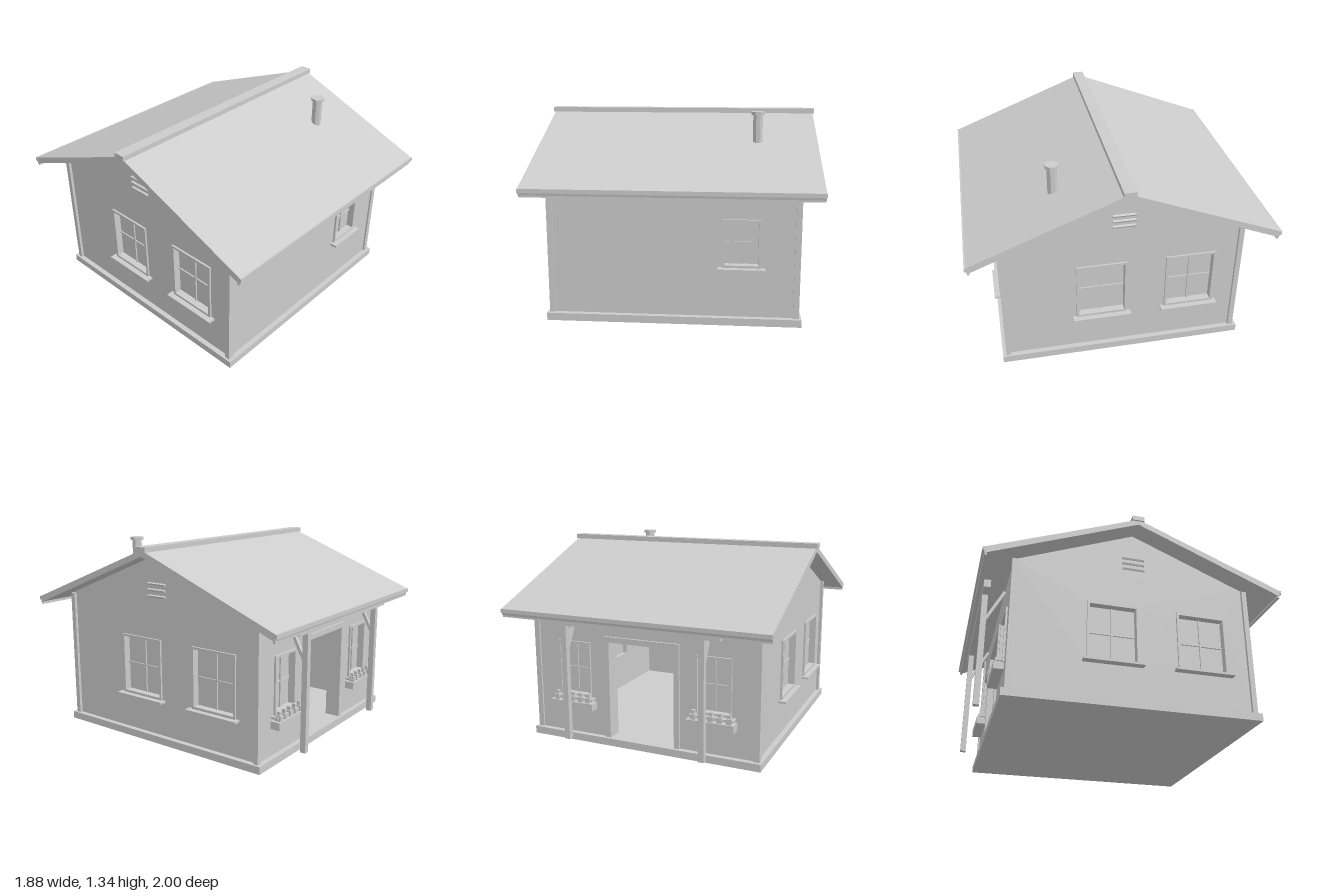
import * as THREE from 'three';

const HALF = 0.79, T = 0.08, FLOOR = 0.05, EAVE = 0.944, APEX = 1.265;

export function createModel() {
  const house = new THREE.Group();
  house.name = 'cabin';
  const grey = new THREE.MeshStandardMaterial({ color: 0xcccccc });
  grey.name = 'plain grey';

  const add = (parent, name, geometry) => {
    const mesh = new THREE.Mesh(geometry, grey);
    mesh.name = name;
    parent.add(mesh);
    return mesh;
  };
  // Box given by its minimum and maximum on each axis
  const box = (parent, name, x0, x1, y0, y1, z0, z1) => {
    const mesh = add(parent, name, new THREE.BoxGeometry(x1 - x0, y1 - y0, z1 - z0));
    mesh.position.set((x0 + x1) / 2, (y0 + y1) / 2, (z0 + z1) / 2);
    return mesh;
  };
  const polygon = (points) => new THREE.Shape(points.map(([x, y]) => new THREE.Vector2(x, y)));
  const rect = (x0, x1, y0, y1) => polygon([[x0, y0], [x1, y0], [x1, y1], [x0, y1]]);
  // Extruded plate between two depths
  const plate = (parent, name, shape, z0, z1) => {
    const geometry = new THREE.ExtrudeGeometry(shape, { depth: z1 - z0, bevelEnabled: false });
    geometry.translate(0, 0, z0);
    return add(parent, name, geometry);
  };

  // Window with frame, recessed pane, crossed bars and sill
  const addWindow = (parent, x0, x1, y0, y1) => {
    const group = new THREE.Group();
    group.name = 'window';
    parent.add(group);
    const f = 0.016;
    const frame = rect(x0, x1, y0, y1);
    frame.holes.push(rect(x0 + f, x1 - f, y0 + f, y1 - f));
    plate(group, 'windowFrame', frame, HALF - T, HALF + 0.013);
    box(group, 'windowPane', x0 + f, x1 - f, y0 + f, y1 - f, HALF - 0.044, HALF - 0.036);
    const cx = (x0 + x1) / 2, cy = (y0 + y1) / 2;
    box(group, 'windowBar', cx - 0.005, cx + 0.005, y0 + f, y1 - f, HALF - 0.036, HALF - 0.026);
    box(group, 'windowBar', x0 + f, x1 - f, cy - 0.005, cy + 0.005, HALF - 0.036, HALF - 0.027);
    box(group, 'windowSill', x0 - 0.027, x1 + 0.027, y0 - 0.014, y0, HALF - 0.02, HALF + 0.05);
  };

  // Wall facing local +z, turned about the vertical axis into place
  const addWall = (name, angle, outline, windows) => {
    const group = new THREE.Group();
    group.name = name;
    group.rotation.y = angle;
    house.add(group);
    const shape = polygon(outline);
    windows.forEach((w) => {
      shape.holes.push(rect(...w));
      addWindow(group, ...w);
    });
    plate(group, 'wallPanel', shape, HALF - T, HALF);
    return group;
  };

  // Base slab
  box(house, 'foundation', -0.825, 0.825, 0, FLOOR, -0.825, 0.825);

  // Front wall
  const W = HALF - T;
  addWall('frontWall', 0, [[-W, FLOOR], [W, FLOOR], [W, EAVE], [-W, EAVE]],
    [[0.315, 0.56, 0.38, 0.695]]);

  // Gable walls with two windows and a louvred vent each
  const gable = [[-HALF, FLOOR], [HALF, FLOOR], [HALF, EAVE], [0, APEX], [-HALF, EAVE]];
  for (const side of [1, -1]) {
    const wall = addWall(side > 0 ? 'leftWall' : 'rightWall', side * Math.PI / 2, gable,
      [[-0.313, 0.027, 0.3, 0.71], [0.287, 0.627, 0.3, 0.71]]);
    for (let i = 0; i < 3; i++) {
      const slat = box(wall, 'ventSlat', -0.075, 0.075, 0.99 + i * 0.04, 1.002 + i * 0.04, HALF - 0.01, HALF + 0.012);
      slat.rotation.x = 0.4;
    }
  }

  // Back wall with doorway
  const D = 0.245, top = 0.72;
  const backWindows = [[-0.622, -0.378, 0.31, 0.69], [0.378, 0.622, 0.31, 0.69]];
  const back = addWall('backWall', Math.PI,
    [[-W, FLOOR], [-D, FLOOR], [-D, top], [D, top], [D, FLOOR], [W, FLOOR], [W, EAVE], [-W, EAVE]],
    backWindows);
  const e = D + 0.025, n = D - 0.012;
  plate(back, 'doorFrame', polygon([[-e, FLOOR], [-n, FLOOR], [-n, top - 0.012], [n, top - 0.012],
    [n, FLOOR], [e, FLOOR], [e, top + 0.025], [-e, top + 0.025]]), HALF - T - 0.01, HALF + 0.015);

  // Flower boxes under the back windows
  for (const [x0, x1] of backWindows) {
    const c = (x0 + x1) / 2;
    box(back, 'flowerBox', c - 0.16, c + 0.16, 0.235, 0.285, HALF + 0.005, HALF + 0.07);
    for (let i = -2; i <= 2; i++) {
      const x = c + i * 0.06;
      box(back, 'plantStem', x - 0.018, x + 0.018, 0.285, 0.32, HALF + 0.02, HALF + 0.06);
      box(back, 'flower', x - 0.01, x + 0.01, 0.32, 0.345, HALF + 0.03, HALF + 0.05);
    }
  }

  // Corner boards
  for (const sx of [1, -1]) for (const sz of [1, -1]) {
    const post = box(house, 'cornerBoard', -0.019, 0.019, FLOOR, 0.94, -0.017, 0.017);
    post.position.x = sx * 0.791;
    post.position.z = sz * 0.785;
  }

  // Porch posts, beam and diagonal braces
  box(house, 'porchBeam', -0.6, 0.6, 0.83, 0.885, -0.952, -0.907);
  for (const s of [1, -1]) {
    const x = s * 0.48;
    box(house, 'porchPost', x - 0.019, x + 0.019, 0.055, 0.83, -0.95, -0.912);
    const brace = add(house, 'porchBrace', new THREE.BoxGeometry(0.024, 0.25, 0.02));
    brace.position.set(x, 0.765, -0.86);
    brace.rotation.x = Math.atan2(0.11, 0.21);
  }

  // Pitched roof, extruded along x
  const roof = plate(house, 'roof', polygon([[0, APEX], [-0.985, 0.868], [-0.995, 0.91], [0, 1.305],
    [0.995, 0.91], [0.985, 0.868]]), -0.928, 0.928);
  roof.rotation.y = Math.PI / 2;
  box(house, 'ridgeCap', -0.938, 0.938, 1.292, 1.325, -0.04, 0.04);

  // Eave boards on both sides
  for (const s of [1, -1]) {
    const board = box(house, 'eaveBoard', -0.925, 0.925, 0.856, 0.9, -0.007, 0.007);
    board.position.z = s * 0.977;
    const lip = box(house, 'eaveLip', -0.93, 0.93, 0.886, 0.912, -0.011, 0.011);
    lip.position.z = s * 0.989;
  }

  // Stovepipe with cap
  const pipe = (name, r, y0, y1) => {
    const geometry = new THREE.CylinderGeometry(r, r, y1 - y0, 8).toNonIndexed();
    geometry.computeVertexNormals();
    const mesh = add(house, name, geometry);
    mesh.position.set(0.533, (y0 + y1) / 2, 0.41);
    mesh.rotation.y = Math.PI / 8;
  };
  pipe('chimneyPipe', 0.034, 1.08, 1.315);
  pipe('chimneyCap', 0.047, 1.315, 1.335);

  return house;
}
